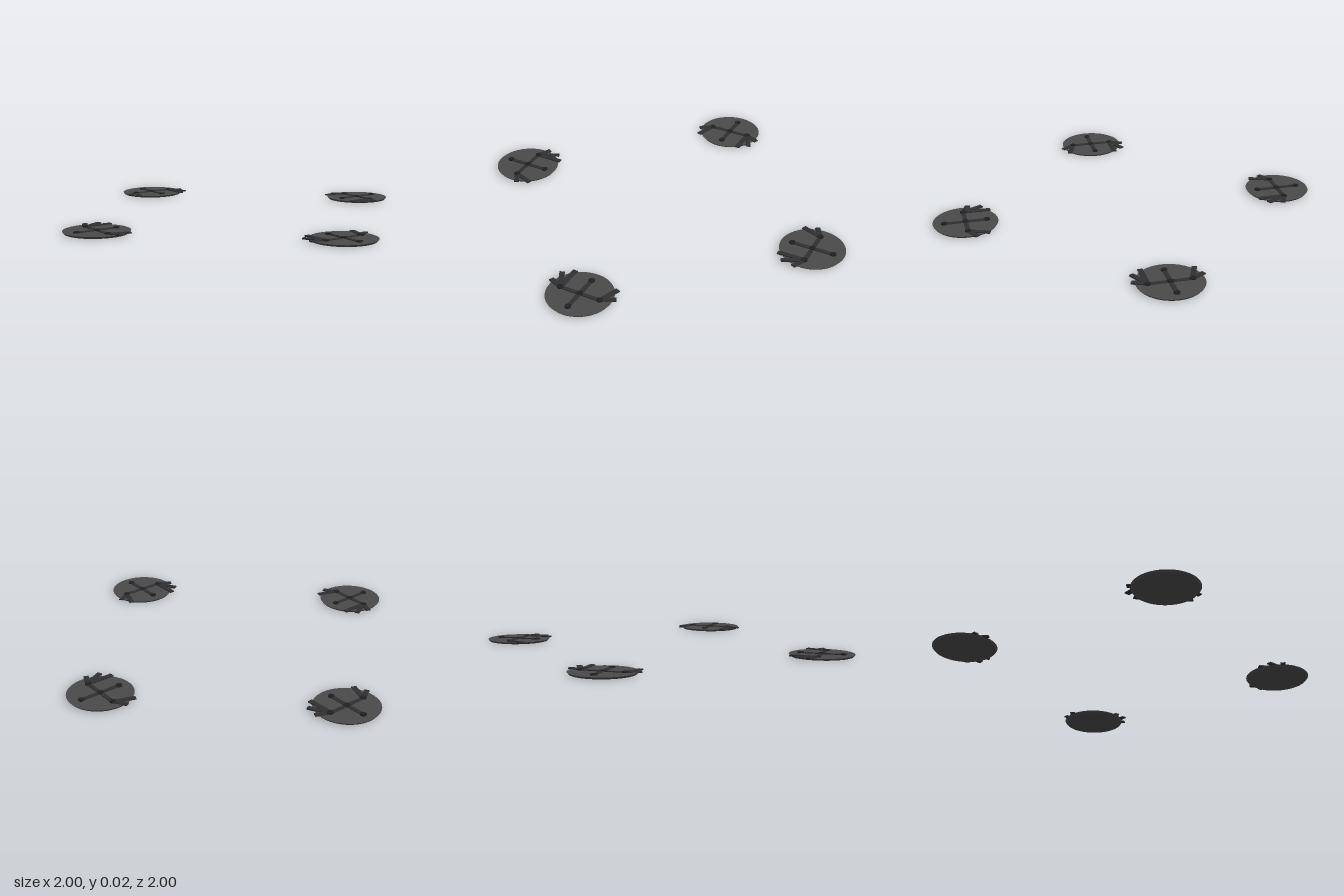
import * as THREE from 'three';

const discMat = new THREE.MeshStandardMaterial({ color: 0x4a4a4a });
const barMat = new THREE.MeshStandardMaterial({ color: 0x303033 });
const nodeMat = new THREE.MeshStandardMaterial({ color: 0x202022 });

const DISC_RADIUS = 0.165;
const DISC_TOP = 0.01;
const ARM = 0.108;

function addMesh(parent, name, geometry, material, x, y, z) {
  const mesh = new THREE.Mesh(geometry, material);
  mesh.name = name;
  mesh.position.set(x, y, z);
  parent.add(mesh);
  return mesh;
}

// Flat bar starting at (x, z), running at an angle measured from +z towards +x
function addBar(parent, name, x, z, angle, length, width, top) {
  const height = top - DISC_TOP + 0.002;
  const geometry = new THREE.BoxGeometry(width, height, length).translate(0, 0, length / 2);
  addMesh(parent, name, geometry, barMat, x, top - height / 2, z).rotation.y = angle;
}

function createPad() {
  const pad = new THREE.Group();

  // Thin round base, slightly narrower underneath
  addMesh(pad, 'disc', new THREE.CylinderGeometry(DISC_RADIUS, 0.157, DISC_TOP, 64),
    discMat, 0, DISC_TOP / 2, 0);

  // Crossed bars
  addBar(pad, 'lengthBar', 0, -ARM, 0, ARM * 2, 0.022, 0.0135);
  addBar(pad, 'crossBar', -ARM, 0, Math.PI / 2, ARM * 2, 0.022, 0.013);

  // Round joints at the centre and bar ends
  const joint = new THREE.CylinderGeometry(0.016, 0.016, 0.007, 16);
  for (const [x, z] of [[0, 0], [ARM, 0], [-ARM, 0], [0, ARM], [0, -ARM]]) {
    addMesh(pad, 'joint', joint, nodeMat, x, 0.0125, z);
  }

  // Fanned fingers: three on one side, two on the other [side, degrees, length]
  const fingers = [
    [1, 0, 0.14], [1, 27, 0.115], [1, 65, 0.077],
    [-1, 20, 0.112], [-1, 58, 0.077],
  ];
  fingers.forEach(([side, degrees, length], i) => {
    addBar(pad, 'finger', side * ARM, 0, side * THREE.MathUtils.degToRad(degrees),
      length, 0.026, 0.0145 - i * 0.0003);
  });
  return pad;
}

export function createModel() {
  const model = new THREE.Group();
  model.name = 'padSet';

  // Four pads around the centre, fingers facing inwards
  const names = ['backPad', 'rightPad', 'frontPad', 'leftPad'];
  names.forEach((name, i) => {
    const angle = i * Math.PI / 2;
    const pad = createPad();
    pad.name = name;
    pad.rotation.y = angle;
    pad.position.set(-Math.sin(angle) * 0.835, 0, -Math.cos(angle) * 0.835);
    model.add(pad);
  });
  return model;
}
